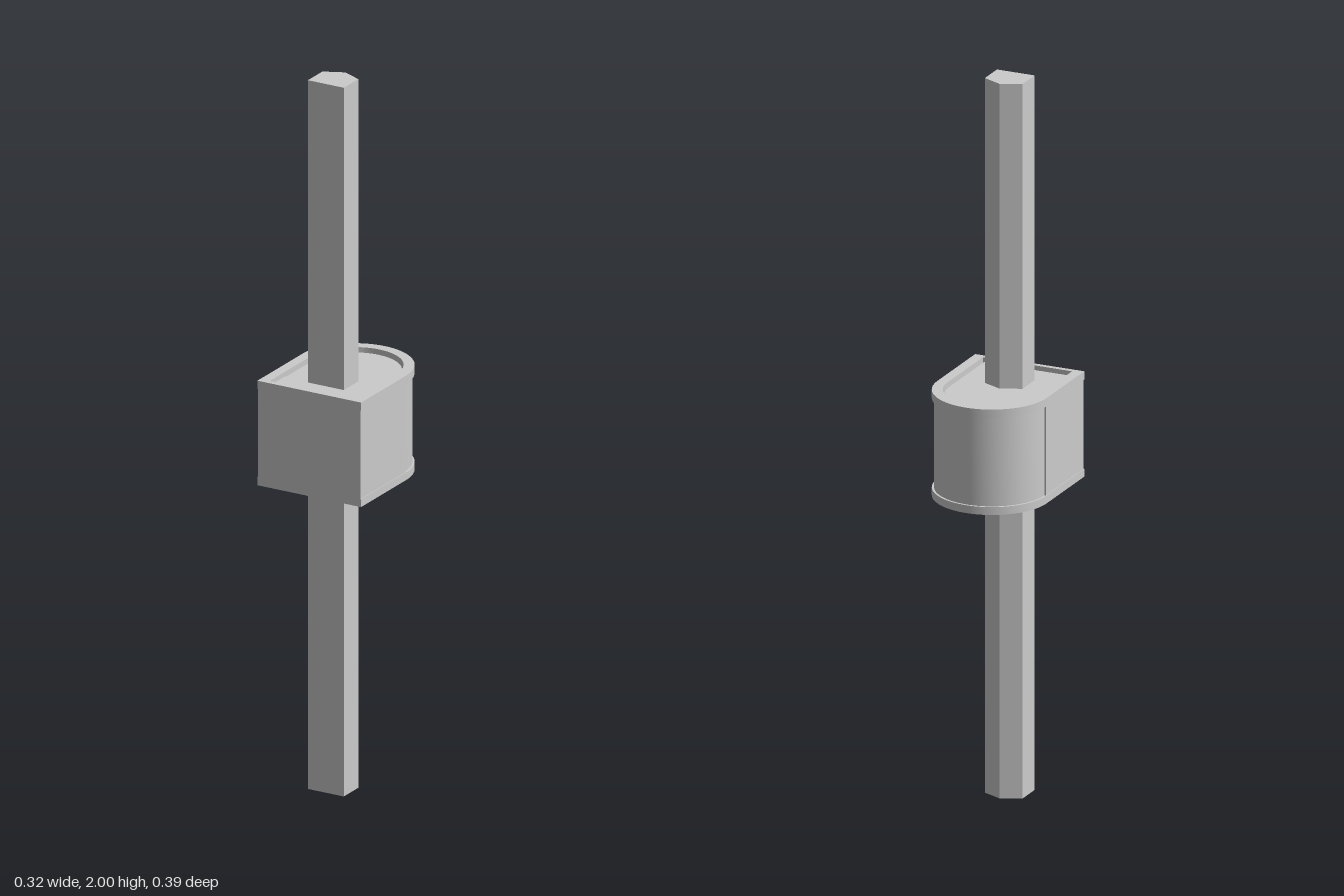
import * as THREE from 'three';
import { toCreasedNormals } from 'three/addons/utils/BufferGeometryUtils.js';

const material = new THREE.MeshStandardMaterial({ color: 0xcccccc });

// Arch outline seen from above: round at the back, square at the front
function arch(radius, front, centre = -0.038, PathType = THREE.Shape) {
  const path = new PathType();
  path.moveTo(radius, -front);
  path.lineTo(radius, -centre);
  path.absarc(0, -centre, radius, 0, Math.PI, false);
  path.lineTo(-radius, -front);
  path.closePath();
  return path;
}

// Upright prism of a plan outline between two heights
function prism(name, shape, y0, y1) {
  const extruded = new THREE.ExtrudeGeometry(shape, { depth: y1 - y0, bevelEnabled: false, curveSegments: 24 });
  extruded.rotateX(-Math.PI / 2).translate(0, y0, 0);
  const mesh = new THREE.Mesh(toCreasedNormals(extruded, 0.5), material);
  mesh.name = name;
  return mesh;
}

function ring(name, radius, front, y0, y1) {
  const shape = arch(radius, front);
  shape.holes.push(arch(0.13, 0.181, -0.038, THREE.Path));
  return prism(name, shape, y0, y1);
}

function box(name, w, h, d, x, y, z) {
  const mesh = new THREE.Mesh(new THREE.BoxGeometry(w, h, d), material);
  mesh.name = name;
  mesh.position.set(x, y, z);
  return mesh;
}

export function createModel() {
  const group = new THREE.Group();

  // Five-sided post with its ridge at the back
  const plan = [[-0.055, 0.109], [0.055, 0.109], [0.055, 0.034], [0, 0.009], [-0.055, 0.034]];
  const postShape = new THREE.Shape(plan.map(([x, z]) => new THREE.Vector2(x, -z)));
  group.add(prism('post', postShape, 0, 2));

  // Collar: recessed wall between two projecting rims
  group.add(ring('collarWall', 0.153, 0.194, 0.887, 1.137));
  group.add(ring('topRim', 0.159, 0.195, 1.137, 1.16));
  group.add(ring('bottomRim', 0.159, 0.195, 0.865, 0.887));

  // Flush panels along the straight sides
  for (const side of [-1, 1]) {
    group.add(box(side > 0 ? 'leftPanel' : 'rightPanel', 0.012, 0.262, 0.233, side * 0.151, 1.006, 0.078));
  }
  group.add(box('frontPanel', 0.314, 0.294, 0.014, 0, 1.0125, 0.188));

  // Core plug, set down inside the rims with a narrow gap around it
  group.add(prism('core', arch(0.1265, 0.181, -0.036), 0.878, 1.147));
  group.add(box('coreStop', 0.008, 0.269, 0.081, -0.127, 1.0125, 0.1405));
  return group;
}
